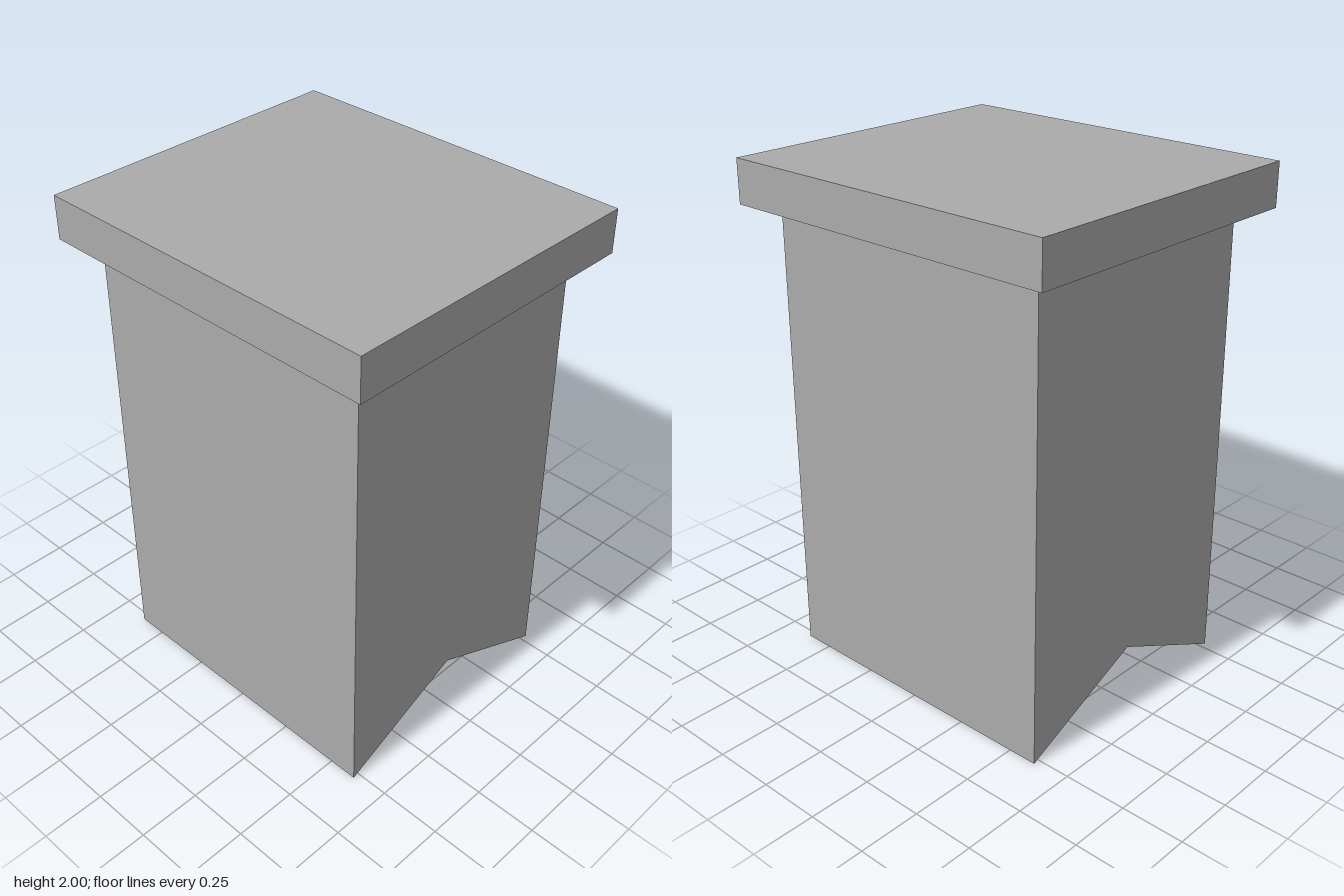
import * as THREE from 'three';

export function createModel() {
  const model = new THREE.Group();
  model.name = 'chimney';

  const grey = new THREE.MeshStandardMaterial({ color: 0xababab, side: THREE.DoubleSide });
  grey.name = 'grey';

  const halfX = 0.617, halfZ = 0.527, wallTop = 1.83, notchTop = 0.24;

  const add = (name, geometry, x, y, z, turn = 0) => {
    const mesh = new THREE.Mesh(geometry, grey);
    mesh.name = name;
    mesh.position.set(x, y, z);
    mesh.rotation.y = turn;
    model.add(mesh);
  };

  // Overhanging cap slab
  add('cap', new THREE.BoxGeometry(1.444, 2 - wallTop, 1.264), 0, (2 + wallTop) / 2, 0);

  // Thin front and back walls of the hollow, open-bottomed shaft
  const wall = new THREE.PlaneGeometry(halfX * 2, wallTop);
  add('frontWall', wall, 0, wallTop / 2, halfZ);
  add('backWall', wall, 0, wallTop / 2, -halfZ, Math.PI);

  // Side walls, notched to sit over a roof ridge
  const gable = new THREE.Shape([
    new THREE.Vector2(-halfZ, 0),
    new THREE.Vector2(0, notchTop),
    new THREE.Vector2(halfZ, 0),
    new THREE.Vector2(halfZ, wallTop),
    new THREE.Vector2(-halfZ, wallTop),
  ]);
  const sideWall = new THREE.ShapeGeometry(gable);
  add('leftWall', sideWall, halfX, 0, 0, Math.PI / 2);
  add('rightWall', sideWall, -halfX, 0, 0, -Math.PI / 2);

  return model;
}
